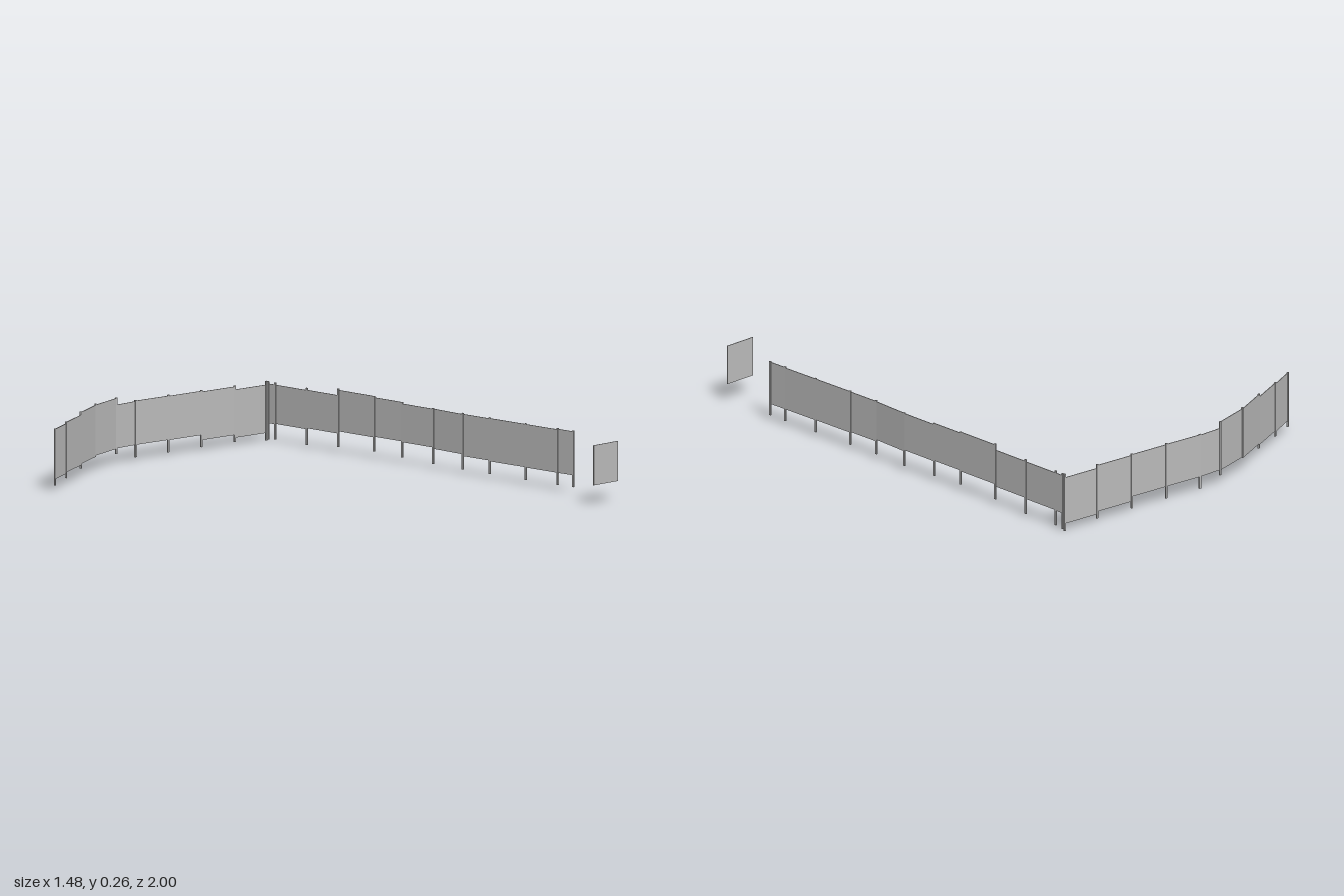
import * as THREE from 'three';

// One row per post: x, z, post bottom, post top, then bottom and top of the panel to the next post
const backRun = [
  [-0.735, -0.67, 0.02, 0.245, 0.045, 0.243],
  [-0.613, -0.74, 0.027, 0.25, 0.05, 0.248],
  [-0.458, -0.826, 0.037, 0.262, 0.055, 0.259],
  [-0.302, -0.913, 0.06, 0.265, 0.06, 0.26],
  [-0.137, -0.975, 0.04, 0.262, 0.062, 0.234],
  [-0.025, -0.987, 0.013, 0.238, 0.062, 0.236],
  [0.148, -0.988, 0.013, 0.24, 0.061, 0.235],
  [0.325, -0.991, 0.013, 0.238, 0.041, 0.232],
  [0.503, -0.994, 0.013, 0.236, 0.03, 0.22],
  [0.67, -0.997, 0, 0.235],
];
const sideRun = [
  [0.671, -0.985, 0.005, 0.235, 0.07, 0.226],
  [0.672, -0.945, 0.01, 0.235, 0.072, 0.226],
  [0.678, -0.77, 0.01, 0.235, 0.076, 0.227],
  [0.684, -0.592, 0.023, 0.253, 0.085, 0.248],
  [0.691, -0.39, 0.03, 0.248, 0.088, 0.243],
  [0.697, -0.235, 0.025, 0.243, 0.085, 0.237],
  [0.703, -0.06, 0.02, 0.24, 0.08, 0.238],
  [0.701, 0.113, 0.02, 0.243, 0.073, 0.239],
  [0.708, 0.262, 0.02, 0.243, 0.07, 0.24],
  [0.718, 0.46, 0.02, 0.243, 0.069, 0.24],
  [0.727, 0.635, 0.02, 0.245, 0.069, 0.242],
  [0.732, 0.72, 0.022, 0.245],
];

export function createModel() {
  const model = new THREE.Group();
  const grey = new THREE.MeshStandardMaterial({ color: 0xbcbcbc });
  grey.name = 'grey';

  const box = (name, w, d, x, z, y0, y1, angle) => {
    const mesh = new THREE.Mesh(new THREE.BoxGeometry(w, y1 - y0, d), grey);
    mesh.name = name;
    mesh.position.set(x, (y0 + y1) / 2, z);
    mesh.rotation.y = angle;
    return mesh;
  };
  const heading = (a, b) => Math.atan2(a[1] - b[1], b[0] - a[0]);
  const panel = (name, a, b, y0, y1) =>
    box(name, Math.hypot(b[0] - a[0], b[1] - a[1]), 0.003,
      (a[0] + b[0]) / 2, (a[1] + b[1]) / 2, y0, y1, heading(a, b));

  // Posts with a stepped panel between each pair
  const fence = (name, rows) => {
    const run = new THREE.Group();
    run.name = name;
    rows.forEach((p, i) => {
      const next = rows[i + 1];
      const angle = next ? heading(p, next) : heading(rows[i - 1], p);
      run.add(box('post', 0.008, 0.006, p[0], p[1], p[2], p[3], angle));
      if (next) run.add(panel('panel', p, next, p[4], p[5]));
    });
    model.add(run);
  };
  fence('backFence', backRun);
  fence('sideFence', sideRun);

  // Detached panel at the open end
  model.add(panel('detachedPanel', [0.59, 0.996], [0.732, 0.981], 0.079, 0.237));
  return model;
}
